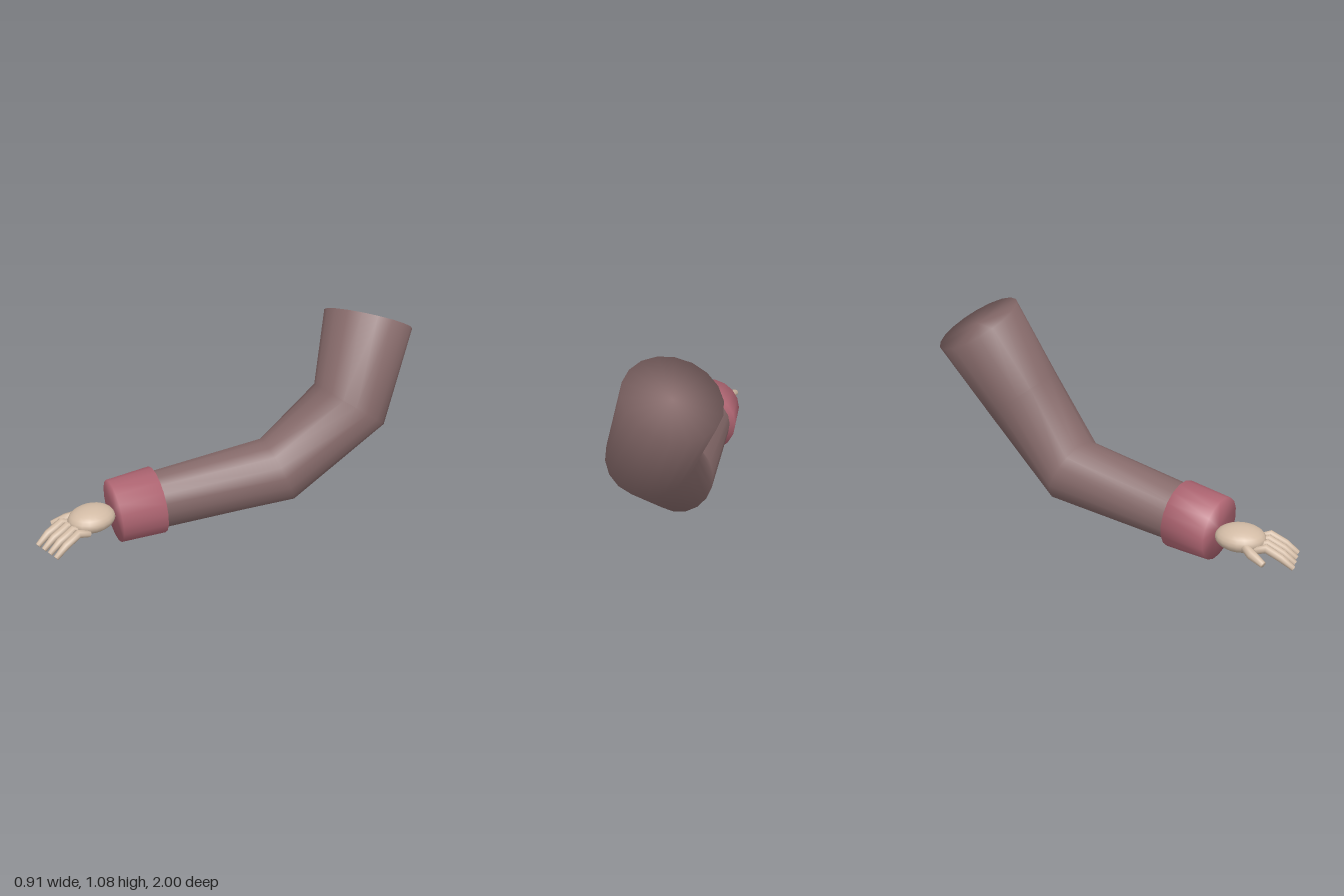
import * as THREE from 'three';

const material = (name, color) => {
  const m = new THREE.MeshStandardMaterial({ color });
  m.name = name;
  return m;
};

// Closed, smooth tube through rings given as [x, y, z, radius]
function limb(rings, sides) {
  const centres = rings.map(([x, y, z]) => new THREE.Vector3(x, y, z));
  const steps = centres.slice(1).map((c, i) => c.clone().sub(centres[i]).normalize());
  const last = rings.length - 1;
  const pos = [], index = [];
  rings.forEach(([, , , r], i) => {
    // Each ring faces halfway between its neighbouring segments
    const t = steps[Math.max(i - 1, 0)].clone().add(steps[Math.min(i, last - 1)]).normalize();
    const u = new THREE.Vector3(1, 0, 0).addScaledVector(t, -t.x).normalize();
    const v = t.clone().cross(u);
    for (let j = 0; j < sides; j++) {
      const a = (j / sides) * Math.PI * 2;
      const p = centres[i].clone().addScaledVector(u, r * Math.cos(a)).addScaledVector(v, r * Math.sin(a));
      pos.push(p.x, p.y, p.z);
    }
  });
  const start = rings.length * sides, end = start + 1;
  pos.push(...centres[0].toArray(), ...centres[last].toArray());
  for (let j = 0; j < sides; j++) {
    const k = (j + 1) % sides;
    for (let i = 0; i < last; i++) {
      const a = i * sides, b = a + sides;
      index.push(a + j, a + k, b + k, a + j, b + k, b + j);
    }
    index.push(start, k, j, end, last * sides + j, last * sides + k);
  }
  const g = new THREE.BufferGeometry();
  g.setAttribute('position', new THREE.Float32BufferAttribute(pos, 3));
  g.setIndex(index);
  g.computeVertexNormals();
  return g;
}

export function createModel() {
  const group = new THREE.Group();
  const sleeveCloth = material('sleeve cloth', 0x866a6a);
  const cuffCloth = material('cuff cloth', 0xb06673);
  const skin = material('skin', 0xd2bba5);
  const add = (name, geometry, mat, parent = group) => {
    const mesh = new THREE.Mesh(geometry, mat);
    mesh.name = name;
    parent.add(mesh);
    return mesh;
  };

  // Sleeve from the shoulder, bending twice at the elbow, to the wrist
  add('sleeve', limb([
    [0.16, 0.975, -0.79, 0.235],
    [0.24, 0.575, -0.585, 0.21],
    [0.06, 0.24, -0.245, 0.183],
    [-0.2, 0.18, 0.46, 0.145],
  ], 18), sleeveCloth);

  // Thick cuff around the wrist
  add('cuff', limb([
    [-0.175, 0.186, 0.38, 0.175],
    [-0.25, 0.168, 0.6, 0.163],
  ], 18), cuffCloth);

  // Hand: flattened palm, four drooping fingers and a thumb
  const hand = new THREE.Group();
  hand.name = 'hand';
  group.add(hand);
  const palm = add('palm', new THREE.SphereGeometry(1, 20, 12), skin, hand);
  palm.scale.set(0.108, 0.063, 0.127);
  palm.position.set(-0.286, 0.155, 0.713);

  for (let i = 0; i < 4; i++) {
    const x = -0.358 + i * 0.05, tip = -0.366 + i * 0.053;
    add('finger', limb([
      [x, 0.125, 0.785, 0.018],
      [x, 0.149, 0.85, 0.023],
      [tip, 0.112, 0.925, 0.02],
      [tip, 0.066, 0.988, 0.014],
    ], 8), skin, hand);
  }

  add('thumb', limb([
    [-0.365, 0.155, 0.74, 0.022],
    [-0.405, 0.13, 0.79, 0.026],
    [-0.442, 0.106, 0.852, 0.017],
  ], 8), skin, hand);

  return group;
}
